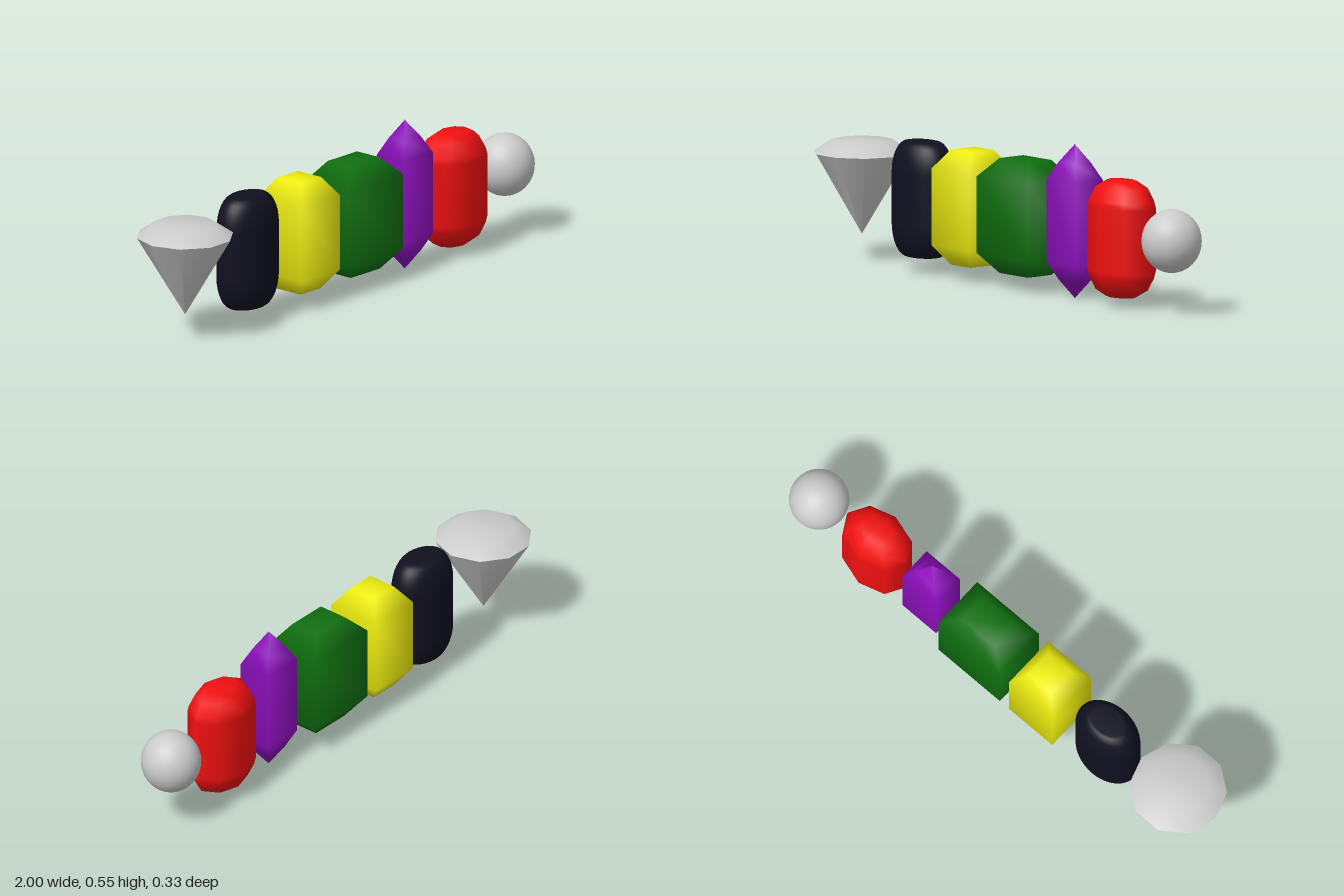
import * as THREE from 'three';

const MID = 0.263; // height of the common centre line

function mesh(name, geometry, color) {
  const m = new THREE.Mesh(geometry, new THREE.MeshStandardMaterial({ color }));
  m.name = name;
  return m;
}

// Lathe from [radius, y] pairs listed bottom to top
function lathe(points, sides, turn = 0) {
  const g = new THREE.LatheGeometry(points.map(([r, y]) => new THREE.Vector2(r, y)), sides);
  return g.rotateY(turn);
}

// Gem symmetric about its middle; half = upper profile from shoulder to tip.
// Width and depth are half sizes.
function gem(name, color, x, width, depth, half, sides, turn) {
  const lower = half.map(([r, y]) => [r, -y]).reverse();
  const g = lathe([...lower, ...half], sides, turn);
  const k = sides === 4 ? Math.SQRT2 : 1; // square sections reach the corners
  g.scale(width * k, 1, depth * k);
  // keep normals unit length after the uneven scale
  g.normalizeNormals();
  const m = mesh(name, g, color);
  m.position.set(x, MID, 0);
  return m;
}

export function createModel() {
  const group = new THREE.Group();
  const seam = -Math.PI * 0.75;

  // Ten-sided brilliant: pointed pavilion below, low crown with a flat table
  const brilliant = new THREE.Group();
  brilliant.name = 'brilliantGem';
  brilliant.position.x = -0.825;
  const turn = -Math.PI / 2;
  brilliant.add(
    mesh('pavilion', lathe([[0, 0.1], [0.175, 0.394]], 10, turn), 0xcccccc),
    mesh('crown', lathe([[0.175, 0.394], [0.112, 0.437], [0, 0.441]], 10, turn), 0xcccccc)
  );
  group.add(brilliant);

  // Smooth oval stone with rounded shoulders
  const oval = [[1, 0.09]];
  for (let i = 1; i <= 8; i++) {
    const a = (i / 8) * Math.PI / 2;
    oval.push([0.5 + 0.5 * Math.cos(a), 0.09 + 0.118 * Math.sin(a)]);
  }
  oval.push([0, 0.208]);
  group.add(gem('ovalStone', 0x101020, -0.489, 0.132, 0.092, oval, 40, seam));

  // Square-section stones with chamfered ends
  const step = [[1, 0.138], [0.53, 0.207], [0, 0.207]];
  group.add(gem('squareStone', 0xf0f010, -0.213, 0.103, 0.104, step, 4, seam));
  group.add(gem('wideStone', 0x107010, 0.081, 0.147, 0.104, step, 4, seam));

  // Slim double-pointed crystal
  const spike = [[1, 0.157], [0.57, 0.222], [0, 0.29]];
  const crystal = gem('pointedCrystal', 0x9010c0, 0.354, 0.08, 0.064, spike, 4, seam);
  crystal.scale.y = 0.277 / 0.29;
  crystal.position.y = 0.277;
  group.add(crystal);

  // Eight-sided stone with stepped round shoulders
  const barrel = [[1, 0.115], [0.95, 0.14], [0.76, 0.185], [0.45, 0.209], [0, 0.209]];
  const octagon = gem('octagonStone', 0xf01010, 0.613, 0.144, 0.104, barrel, 8, seam);
  octagon.position.y = 0.244;
  group.add(octagon);

  // Bead at the end of the row
  const bead = mesh('bead', new THREE.SphereGeometry(1, 32, 16), 0xcccccc);
  bead.scale.set(0.108, 0.114, 0.108);
  bead.position.set(0.89, 0.265, 0);
  group.add(bead);

  return group;
}
